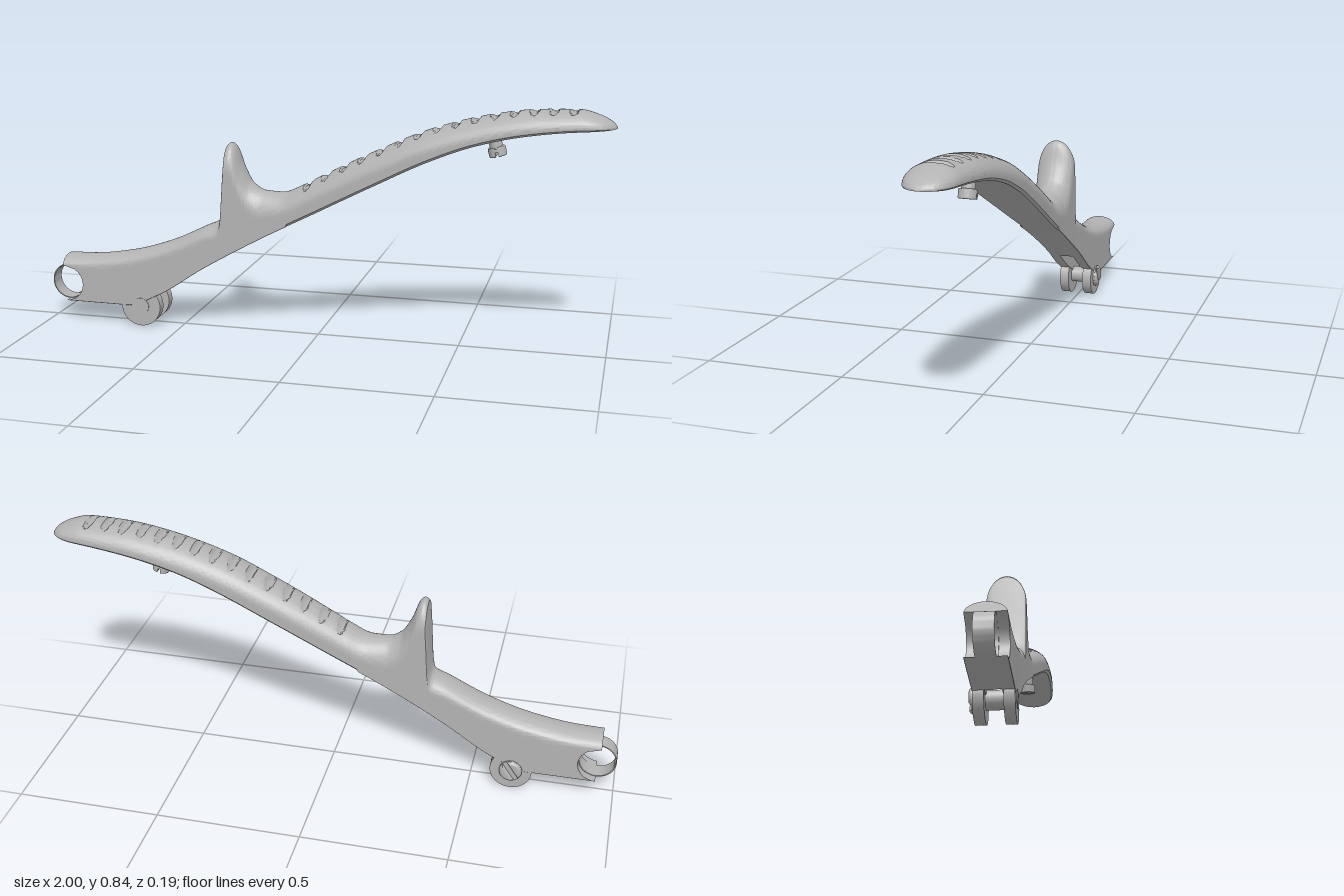
import * as THREE from 'three';
import { toCreasedNormals } from 'three/addons/utils/BufferGeometryUtils.js';

const metal = new THREE.MeshStandardMaterial({ color: 0xb3b3b3 });
metal.name = 'greyMetal';

// Smooth, non-overshooting curve through [x, value] points
function curve(pts) {
  const slope = i => (pts[i + 1][1] - pts[i][1]) / (pts[i + 1][0] - pts[i][0]);
  const m = pts.map((p, i) => {
    if (i === 0) return slope(0);
    if (i === pts.length - 1) return slope(i - 1);
    const a = slope(i - 1), b = slope(i);
    return a * b <= 0 ? 0 : (2 * a * b) / (a + b);
  });
  return x => {
    let i = 0;
    while (i < pts.length - 2 && x > pts[i + 1][0]) i++;
    const h = pts[i + 1][0] - pts[i][0];
    const t = Math.min(1, Math.max(0, (x - pts[i][0]) / h)), t2 = t * t, t3 = t2 * t;
    return (2 * t3 - 3 * t2 + 1) * pts[i][1] + (t3 - 2 * t2 + t) * h * m[i]
      + (3 * t2 - 2 * t3) * pts[i + 1][1] + (t3 - t2) * h * m[i + 1];
  };
}

const topY = curve([[-0.945, 0.24], [-0.85, 0.243], [-0.7, 0.265], [-0.55, 0.31], [-0.4, 0.38], [-0.35, 0.405],
  [-0.34, 0.45], [-0.33, 0.6], [-0.325, 0.67], [-0.31, 0.68], [-0.297, 0.67], [-0.27, 0.6], [-0.235, 0.54],
  [-0.19, 0.515], [-0.13, 0.512], [-0.05, 0.543], [0, 0.57], [0.2, 0.672], [0.4, 0.76], [0.6, 0.815],
  [0.75, 0.836], [0.88, 0.84], [0.95, 0.822], [0.985, 0.803], [1, 0.787]]);
const bottomY = curve([[-0.945, 0.075], [-0.7, 0.075], [-0.58, 0.12], [-0.4, 0.235], [-0.2, 0.35], [0, 0.455],
  [0.2, 0.56], [0.4, 0.66], [0.55, 0.718], [0.7, 0.755], [0.85, 0.775], [1, 0.784]]);
const halfWidth = curve([[-0.945, 0.062], [-0.3, 0.066], [-0.2, 0.068], [0, 0.077], [0.2, 0.087], [0.4, 0.093],
  [0.65, 0.094], [0.8, 0.09], [0.9, 0.082], [0.95, 0.068], [0.98, 0.046], [0.995, 0.022], [1, 0.003]]);
const roundHeight = curve([[-0.945, 0.035], [-0.4, 0.045], [-0.34, 0.06], [-0.32, 0.1], [-0.25, 0.1],
  [-0.1, 0.07], [1, 0.07]]);

const RING = { x: -0.935, y: 0.14, r: 0.065 };
const PIN = { x: -0.645, y: 0.075 };

// Roof of the slot between the two hinge cheeks
function slotY(x) {
  if (x < -0.72 || x > -0.45) return -1;
  if (x < PIN.x) return PIN.y + Math.sqrt(Math.max(0, 0.075 ** 2 - (x - PIN.x) ** 2));
  return 0.15 + (x - PIN.x) * 0.27;
}

// Shallow oval finger grooves across the top of the grip
function grooveDepth(x, z) {
  const i = Math.min(14, Math.max(0, Math.round((x + 0.03) / 0.0636)));
  const t = (x + 0.03 - i * 0.0636) / 0.014;
  return 0.012 * Math.sqrt(Math.max(0, 1 - t * t - (z / 0.054) ** 2));
}

// One closed cross-section, from the bottom centre round the +z side to the top and back
function section(x) {
  const b = bottomY(x), t = topY(x), w = halfWidth(x), thick = t - b;
  const c = Math.min(x > -0.1 ? 0.009 : 0.001, thick * 0.1, w * 0.2);
  const h = Math.min(roundHeight(x), (thick - c) * 0.9);
  const s = Math.min(0.028, w * 0.4), roof = Math.max(b, slotY(x));
  const half = [[0, roof], [s, roof], [s, b], [w - c, b]];
  for (let i = 0; i < 12; i++) half.push([w, b + c + (thick - h - c) * i / 12]);
  for (let i = 0; i <= 16; i++) {
    const a = i / 16 * Math.PI / 2, z = w * Math.cos(a);
    half.push([z, t - h + h * Math.sin(a) - grooveDepth(x, z)]);
  }
  const ring = half.concat(half.slice().reverse().map(([z, y]) => [-z, y]));
  return ring.map(([z, y]) => {
    let px = x;
    if (x < -0.82) { // the rear end is hollowed to seat the ring
      const d = RING.r ** 2 - (y - RING.y) ** 2;
      const cut = y > RING.y + RING.r ? -0.945 : RING.x + Math.sqrt(Math.max(0, d));
      px = cut + (x + 0.945) / 0.125 * (-0.82 - cut);
    }
    return new THREE.Vector3(px, y, z);
  });
}

function leverGeometry() {
  const xs = [];
  const span = (from, to, n) => { for (let i = 0; i < n; i++) xs.push(from + (to - from) * i / n); };
  span(-0.945, -0.82, 4);
  span(-0.82, -0.72, 4);
  span(-0.72, -0.57, 15);
  span(-0.57, -0.36, 12);
  span(-0.36, -0.14, 50);
  span(-0.14, 0.98, 200);
  span(0.98, 1, 8);
  xs.push(1);
  const rings = xs.map(section), n = rings[0].length, pos = [];
  const ab = new THREE.Vector3(), ac = new THREE.Vector3();
  const tri = (a, b, c) => {
    if (ab.subVectors(b, a).cross(ac.subVectors(c, a)).length() > 1e-9) {
      for (const p of [a, b, c]) pos.push(p.x, p.y, p.z);
    }
  };
  for (let i = 0; i < rings.length - 1; i++) {
    for (let j = 0; j < n; j++) {
      const k = (j + 1) % n, p = rings[i], q = rings[i + 1];
      tri(p[j], q[j], q[k]);
      tri(p[j], q[k], p[k]);
    }
  }
  // End caps join mirrored points
  for (const [r, flip] of [[rings[0], false], [rings[rings.length - 1], true]]) {
    for (let j = 0; j < n / 2 - 1; j++) {
      const a = r[n - 1 - j], b = r[j], c = r[j + 1], d = r[n - 2 - j];
      if (flip) { tri(a, c, b); tri(a, d, c); } else { tri(a, b, c); tri(a, c, d); }
    }
  }
  const g = new THREE.BufferGeometry();
  g.setAttribute('position', new THREE.Float32BufferAttribute(pos, 3));
  return toCreasedNormals(g, 0.6);
}

function add(parent, name, geometry, x = 0, y = 0, z = 0) {
  const mesh = new THREE.Mesh(geometry, metal);
  mesh.name = name;
  mesh.position.set(x, y, z);
  parent.add(mesh);
  return mesh;
}

const disc = (r, depth) => new THREE.CylinderGeometry(r, r, depth, 40).rotateX(Math.PI / 2);

// Slotted screw head facing +z, made of a base disc and two rounded halves
function screwHead(name, r, height, bevel) {
  const group = new THREE.Group();
  group.name = name;
  add(group, 'headBase', disc(r, height * 0.4), 0, 0, height * 0.2);
  const inner = r - bevel, gap = 0.004 + bevel, a = Math.acos(gap / inner);
  const shape = new THREE.Shape().absarc(0, 0, inner, -a, a, false);
  const half = new THREE.ExtrudeGeometry(shape, { depth: height - bevel, curveSegments: 16,
    bevelEnabled: true, bevelThickness: bevel, bevelSize: bevel, bevelSegments: 4 });
  for (const turn of [0, Math.PI]) add(group, 'headHalf', half).rotation.z = turn;
  return group;
}

export function createModel() {
  const model = new THREE.Group();
  model.name = 'lever';
  add(model, 'leverBody', leverGeometry());

  // Thin ring at the rear end
  const profile = [[0.062, -0.03], [0.0655, -0.03], [0.0655, 0.03], [0.062, 0.03], [0.062, -0.03]];
  const ring = new THREE.LatheGeometry(profile.map(p => new THREE.Vector2(...p)), 48).rotateX(Math.PI / 2);
  add(model, 'endRing', toCreasedNormals(ring, 0.6), RING.x, RING.y, 0);

  // Hinge cheeks, pin and screw
  for (const side of [1, -1]) add(model, 'hingeCheek', disc(0.073, 0.034), PIN.x, PIN.y, side * 0.0455);
  add(model, 'hingePin', disc(0.03, 0.126), PIN.x, PIN.y, 0.002);
  const screw = screwHead('hingeScrew', 0.04, 0.016, 0.012);
  screw.position.set(PIN.x, PIN.y, -0.062);
  screw.rotation.set(0, Math.PI, 0.6);
  model.add(screw);

  // Slotted stud under the grip
  const stud = new THREE.Group();
  stud.name = 'stud';
  add(stud, 'studNeck', disc(0.022, 0.06), 0, 0, -0.02);
  stud.add(screwHead('studHead', 0.03, 0.028, 0.004));
  stud.position.set(0.611, 0.702, 0);
  stud.rotation.set(Math.PI / 2, 0.25, 0);
  stud.rotation.order = 'ZXY';
  stud.rotation.set(Math.PI / 2, 0, 0.25);
  model.add(stud);
  return model;
}
